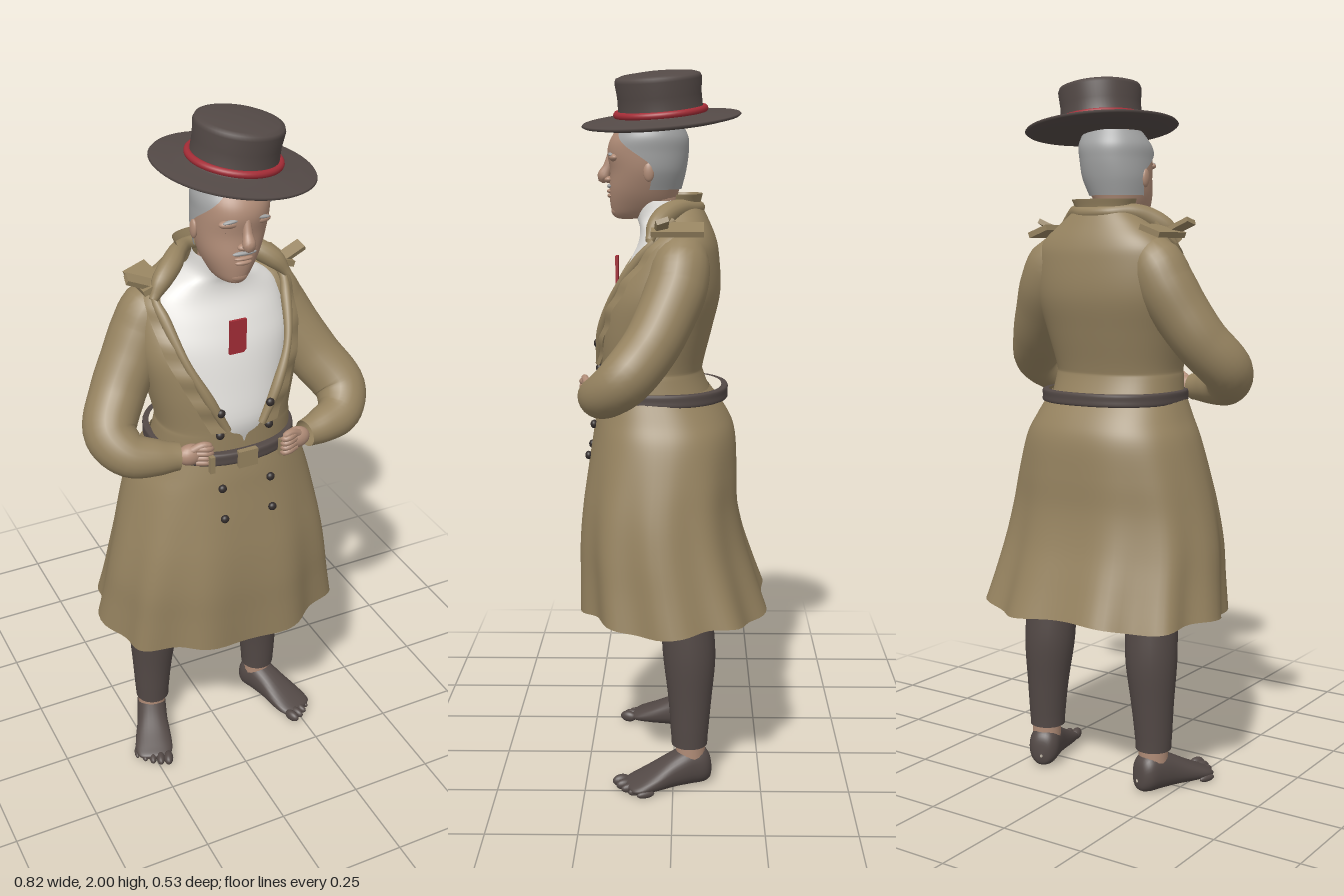
import * as THREE from 'three';
import { mergeVertices } from 'three/addons/utils/BufferGeometryUtils.js';

const mat = (name, color, side = THREE.FrontSide) => {
  const m = new THREE.MeshStandardMaterial({ color, side });
  m.name = name;
  return m;
};

// Smooth interpolation through rows of numbers, t from 0 to 1
function sample(rows, t) {
  const f = t * (rows.length - 1), i = Math.min(Math.floor(f), rows.length - 2), u = f - i;
  const row = (k) => rows[THREE.MathUtils.clamp(k, 0, rows.length - 1)];
  return rows[i].map((b, c) => {
    const a = row(i - 1)[c], d = row(i + 1)[c], e = row(i + 2)[c];
    return b + 0.5 * u * (d - a + u * (2 * a - 5 * b + 4 * d - e + u * (3 * (b - d) + e - a)));
  });
}

// Skin over rows of [y, centre x, half width, front z, back z, opening angle]
function loft(rows, { n = 48, steps = 40, e = 0.88, grow = 0, range = null, warp = null } = {}) {
  const pos = [], idx = [], cols = range ? n + 1 : n;
  const pw = (v) => Math.sign(v) * Math.abs(v) ** e;
  for (let i = 0; i <= steps; i++) {
    const [y, cx, rx, zf, zb, open] = sample(rows, i / steps);
    const [lo, hi] = range ? range(open, y) : [0, Math.PI * 2];
    for (let j = 0; j < cols; j++) {
      const a = lo + (hi - lo) * j / n;
      const p = new THREE.Vector3(cx + (rx + grow) * pw(Math.sin(a)), y,
        (zf + zb) / 2 + ((zf - zb) / 2 + grow) * pw(Math.cos(a)));
      if (warp) warp(p, a);
      pos.push(p.x, p.y, p.z);
    }
  }
  for (let i = 0; i < steps; i++) for (let j = 0; j < n; j++) {
    const a = i * cols + j, b = i * cols + (j + 1) % cols;
    idx.push(a, b, a + cols, b, b + cols, a + cols);
  }
  const g = new THREE.BufferGeometry();
  g.setAttribute('position', new THREE.Float32BufferAttribute(pos, 3));
  g.setIndex(idx);
  g.computeVertexNormals();
  return g;
}

// Tapered tube through points [x, y, z, radius]
function limb(pts, steps = 32, sides = 20) {
  const curve = new THREE.CatmullRomCurve3(pts.map(([x, y, z]) => new THREE.Vector3(x, y, z)));
  const g = new THREE.TubeGeometry(curve, steps, 1, sides);
  const pos = g.attributes.position, v = new THREE.Vector3();
  for (let i = 0; i <= steps; i++) {
    const c = curve.getPointAt(i / steps);
    const r = sample(pts, curve.getUtoTmapping(i / steps))[3];
    for (let j = 0; j <= sides; j++) {
      const k = i * (sides + 1) + j;
      v.fromBufferAttribute(pos, k).sub(c).multiplyScalar(r).add(c);
      pos.setXYZ(k, v.x, v.y, v.z);
    }
  }
  g.deleteAttribute('uv');
  g.deleteAttribute('normal');
  const m = mergeVertices(g, 1e-5);
  m.computeVertexNormals();
  return m;
}

export function createModel() {
  const model = new THREE.Group();
  const coat = mat('tan coat', 0x968360, THREE.DoubleSide);
  const dark = mat('dark brown', 0x534946);
  const black = mat('button black', 0x332d2c);
  const red = mat('red', 0xa32c36);
  const white = mat('white shirt', 0xe6e4e0);
  const skin = mat('skin', 0xb08c77);
  const grey = mat('grey hair', 0xa2a3a3, THREE.DoubleSide);
  const add = (name, geo, m, parent = model) => {
    const mesh = new THREE.Mesh(geo, m);
    mesh.name = name;
    parent.add(mesh);
    return mesh;
  };
  const ball = (name, m, p, s, parent = model) => {
    const b = add(name, new THREE.SphereGeometry(1, 20, 14), m, parent);
    b.position.set(...p);
    b.scale.set(...s);
    return b;
  };
  const box = (name, m, p, s, r = [0, 0, 0]) => {
    const b = add(name, new THREE.BoxGeometry(...s), m);
    b.position.set(...p);
    b.rotation.set(...r);
  };

  // Coat skirt with folds and a wavy hem
  add('coatSkirt', loft([
    [0.505, 0.006, 0.357, 0.264, -0.266], [0.6, 0.003, 0.342, 0.265, -0.233], [0.7, 0, 0.328, 0.266, -0.202],
    [0.8, 0, 0.309, 0.259, -0.184], [0.9, 0, 0.285, 0.245, -0.181], [1.0, 0, 0.256, 0.229, -0.174],
    [1.06, 0, 0.228, 0.22, -0.15], [1.13, 0, 0.197, 0.205, -0.1],
  ], {
    n: 96, e: 0.86, warp: (p, a) => {
      const k = Math.max(0, (1.05 - p.y) / 0.55) ** 1.3;
      const f = 1 - 0.038 * k * Math.cos(a * 10);
      p.x *= f;
      p.z *= f;
      p.y += 0.009 * k * Math.cos(a * 5 + 2.5);
    },
  }), coat);

  // Coat body, open at the front in a V
  const body = [
    [1.1, 0, 0.198, 0.205, -0.11, 0.01], [1.17, 0, 0.191, 0.205, -0.083, 0.02], [1.2, 0, 0.19, 0.205, -0.083, 0.22],
    [1.3, 0, 0.212, 0.203, -0.108, 0.43], [1.4, 0, 0.232, 0.182, -0.13, 0.62], [1.5, 0, 0.222, 0.125, -0.126, 0.84],
    [1.55, 0, 0.2, 0.095, -0.116, 1.08], [1.6, 0, 0.14, 0.065, -0.095, 1.4], [1.64, 0, 0.09, 0.05, -0.075, 1.55],
  ];
  add('coatBody', loft(body, { n: 64, range: (o) => [o, Math.PI * 2 - o] }), coat);

  // Lapels lie just over the edges of the V, with a rolled border
  const lapelRows = body.slice(2, 8);
  const wave = (p) => { p.z += 0.004 * Math.sin(p.y * 75); };
  for (const s of [1, -1]) {
    const range = (o) => (s > 0 ? [o - 0.03, o + 0.24] : [Math.PI * 2 - o - 0.24, Math.PI * 2 - o + 0.03]);
    add('lapel', loft(lapelRows, { n: 8, grow: 0.012, range, warp: wave }), coat);
    add('lapelRoll', limb(lapelRows.map(([y, , rx, zf, zb, o], i) => [
      s * (rx + 0.006) * Math.sin(o) ** 0.88, y,
      (zf + zb) / 2 + ((zf - zb) / 2 + 0.006) * Math.cos(o) ** 0.88, i % 2 ? 0.015 : 0.011,
    ]), 40, 10), coat);
  }

  // Collar: stand around the nape and a thick roll to both shoulders
  add('collarStand', loft([
    [1.59, 0, 0.108, 0.06, -0.085], [1.63, 0, 0.09, 0.05, -0.073], [1.668, 0, 0.1, 0.045, -0.08],
  ], { range: () => [1.45, Math.PI * 2 - 1.45] }), coat);
  const half = [[0.195, 1.55, 0.062, 0.012], [0.165, 1.588, 0.045, 0.026], [0.122, 1.618, 0.015, 0.029], [0.088, 1.632, -0.022, 0.024]];
  add('collarRoll', limb([
    ...half, [0.04, 1.63, -0.063, 0.018], [-0.04, 1.63, -0.063, 0.018],
    ...half.map(([x, ...r]) => [-x, ...r]).reverse(),
  ], 60, 14), coat);

  // Shirt with a high neck
  add('shirt', loft([
    [1.13, 0, 0.16, 0.17, -0.05], [1.2, 0, 0.17, 0.188, -0.06], [1.3, 0, 0.19, 0.175, -0.085],
    [1.4, 0, 0.208, 0.155, -0.1], [1.47, 0, 0.2, 0.128, -0.1], [1.53, 0, 0.18, 0.1, -0.09],
    [1.57, 0, 0.13, 0.094, -0.07], [1.6, 0, 0.08, 0.102, -0.05], [1.65, 0, 0.068, 0.118, -0.03],
  ], { e: 0.95 }), white);
  const tag = new THREE.Shape([[-0.024, 0.048], [0.024, 0.048], [0.024, -0.04], [0.016, -0.048], [-0.024, -0.048]]
    .map(([x, y]) => new THREE.Vector2(x, y)));
  add('chestTag', new THREE.ExtrudeGeometry(tag, { depth: 0.008, bevelEnabled: false }), red)
    .position.set(0, 1.448, 0.155);

  // Belt and buckle
  add('belt', loft([
    [1.1, 0, 0.19, 0.205, -0.135], [1.101, 0, 0.206, 0.226, -0.152], [1.117, 0, 0.207, 0.228, -0.153],
    [1.134, 0, 0.206, 0.226, -0.152], [1.135, 0, 0.19, 0.205, -0.135],
  ], { steps: 16 }), dark);
  box('buckle', coat, [-0.002, 1.117, 0.23], [0.056, 0.05, 0.016]);
  for (const s of [1, -1]) box('beltLoop', coat, [s * 0.105, 1.117, 0.223], [0.014, 0.05, 0.016]);

  // Two columns of buttons
  for (const s of [1, -1]) {
    for (const [y, z] of [[1.26, 0.212], [1.19, 0.207], [1.03, 0.224], [0.94, 0.24]]) {
      ball('button', black, [s * 0.073, y, z], [0.012, 0.012, 0.01]);
    }
  }

  for (const s of [1, -1]) {
    const side = (pts) => pts.map(([x, ...r]) => [s * x, ...r]);
    // The left arm reaches a little further forward than the right
    const reach = s > 0 ? 0.012 : -0.03;
    const arm = (pts) => side(pts).map(([x, y, z, r]) => [x, y, z + reach * THREE.MathUtils.smoothstep(1.5 - y, 0, 0.3), r]);
    add('sleeve', limb(arm([
      [0.12, 1.5, -0.02, 0.06], [0.165, 1.49, -0.02, 0.078], [0.2, 1.43, -0.012, 0.083], [0.24, 1.36, 0.012, 0.08],
      [0.29, 1.28, 0.05, 0.076], [0.338, 1.2, 0.115, 0.072], [0.308, 1.156, 0.168, 0.062], [0.24, 1.142, 0.194, 0.05],
      [0.18, 1.137, 0.206, 0.038],
    ]), 48, 24), coat);
    // Hand with curled fingers
    ball('hand', skin, [s * 0.15, 1.138, 0.213 + reach], [0.038, 0.03, 0.026]);
    for (let i = 0; i < 4; i++) {
      const y = 1.16 - i * 0.014;
      add('finger', limb(arm([
        [0.14, y, 0.228, 0.009], [0.112, y, 0.24, 0.009], [0.097, y - 0.004, 0.235, 0.008], [0.095, y - 0.006, 0.225, 0.002],
      ]), 10, 8), skin);
    }
    add('thumb', limb(arm([
      [0.15, 1.155, 0.222, 0.012], [0.12, 1.17, 0.232, 0.01], [0.1, 1.165, 0.235, 0.008], [0.095, 1.163, 0.235, 0.001],
    ]), 10, 8), skin);
    // Shoulder straps
    box('shoulderStrap', coat, [s * 0.187, 1.58, -0.012], [0.066, 0.016, 0.14], [0, 0, s * -0.35]);
    box('strapFlap', coat, [s * 0.213, 1.59, 0.03], [0.09, 0.014, 0.034], [0.3, s * 0.2, s * 0.35]);

    // Trouser leg and ankle
    add('trouserLeg', limb(side([
      [0.11, 0.95, -0.01, 0.09], [0.145, 0.72, -0.02, 0.088], [0.171, 0.52, -0.036, 0.075], [0.178, 0.38, -0.046, 0.074],
      [0.184, 0.25, -0.048, 0.061], [0.187, 0.15, -0.047, 0.053], [0.187, 0.119, -0.047, 0.051],
    ]), 40, 24), dark);
    add('trouserHem', new THREE.CircleGeometry(0.051, 24).rotateX(Math.PI / 2), dark).position.set(s * 0.187, 0.119, -0.047);
    add('ankle', new THREE.CylinderGeometry(0.042, 0.042, 0.05, 20), skin).position.set(s * 0.189, 0.105, -0.05);

    // Foot, pointing outwards, with five toes
    const foot = new THREE.Group();
    foot.name = 'foot';
    foot.position.set(s * 0.193, 0, -0.042);
    foot.rotation.y = s * 0.36;
    model.add(foot);
    add('footBody', loft([
      [-0.068, 0, 0.004, -0.03, -0.04], [-0.062, 0, 0.028, -0.008, -0.085], [-0.04, 0, 0.044, 0, -0.109],
      [0, 0, 0.046, 0, -0.112], [0.05, 0, 0.048, 0, -0.092], [0.11, 0, 0.056, 0, -0.06],
      [0.155, 0, 0.056, -0.003, -0.038], [0.18, 0, 0.04, -0.008, -0.026], [0.185, 0, 0.004, -0.015, -0.019],
    ], { n: 28 }).rotateX(Math.PI / 2), dark, foot);
    for (let i = 0; i < 5; i++) {
      const r = 0.017 - i * 0.0017;
      ball('toe', dark, [s * (-0.043 + i * 0.024), r, 0.186 - i * i * 0.0025], [r * 0.85, r, 0.026], foot);
    }
  }

  // Head
  const head = [
    [1.598, -0.002, 0.008, 0.15, 0.11], [1.607, -0.002, 0.038, 0.168, 0.04], [1.64, 0.002, 0.062, 0.176, 0],
    [1.68, 0.007, 0.08, 0.178, -0.015], [1.73, 0.014, 0.092, 0.175, -0.028], [1.78, 0.018, 0.095, 0.182, -0.035],
    [1.82, 0.021, 0.094, 0.17, -0.034], [1.86, 0.024, 0.075, 0.135, -0.015], [1.875, 0.024, 0.01, 0.07, 0.05],
  ];
  add('head', loft(head, { e: 0.95 }), skin);
  add('hair', loft(head.slice(3, 8), {
    e: 0.95, grow: 0.006,
    range: (o, y) => {
      const a = THREE.MathUtils.lerp(1.72, 0.6, THREE.MathUtils.smoothstep(y, 1.73, 1.85));
      return [a, Math.PI * 2 - a];
    },
  }), grey);
  add('neck', limb([[0, 1.56, 0.03, 0.055], [0, 1.62, 0.04, 0.056], [0.01, 1.69, 0.055, 0.06]], 8), skin);
  add('nose', limb([
    [0.015, 1.775, 0.172, 0.01], [0.013, 1.74, 0.182, 0.013], [0.011, 1.712, 0.193, 0.018], [0.01, 1.7, 0.185, 0.008],
  ], 14, 12), skin);
  ball('nostrils', skin, [0.01, 1.706, 0.18], [0.024, 0.01, 0.014]);
  ball('moustache', grey, [0.008, 1.688, 0.176], [0.034, 0.006, 0.008]);
  ball('upperLip', skin, [0.006, 1.674, 0.174], [0.026, 0.006, 0.011]);
  ball('lowerLip', skin, [0.006, 1.662, 0.173], [0.024, 0.007, 0.011]);
  ball('chin', skin, [0, 1.622, 0.158], [0.026, 0.018, 0.016]);
  for (const s of [1, -1]) {
    const x = 0.015 + s * 0.04;
    ball('browRidge', skin, [x, 1.766, 0.16], [0.032, 0.012, 0.016]);
    ball('eyebrow', grey, [x, 1.775, 0.17], [0.025, 0.005, 0.008]).rotation.z = s * -0.12;
    ball('eye', black, [x, 1.742, 0.157], [0.015, 0.0025, 0.006]);
    ball('ear', skin, [0.012 + s * 0.094, 1.728, 0.066], [0.009, 0.026, 0.015]);
  }

  // Tilted wide-brimmed hat with a red band
  const hat = new THREE.Group();
  hat.name = 'hat';
  hat.position.set(0.043, 1.862, 0.033);
  hat.rotation.set(0.08, 0, -0.12);
  model.add(hat);
  const profile = [[0, -0.012], [0.1, -0.011], [0.18, -0.006], [0.212, 0], [0.217, 0.004], [0.214, 0.008], [0.17, 0.012],
    [0.13, 0.017], [0.119, 0.021], [0.115, 0.03], [0.114, 0.07], [0.118, 0.11], [0.114, 0.12], [0.1, 0.125], [0.05, 0.13], [0, 0.131]];
  add('hatBody', new THREE.LatheGeometry(profile.map(([x, y]) => new THREE.Vector2(x, y)), 64), dark, hat);
  const band = add('hatBand', new THREE.TorusGeometry(0.119, 0.01, 12, 64), red, hat);
  band.rotation.x = Math.PI / 2;
  band.position.y = 0.026;

  return model;
}
